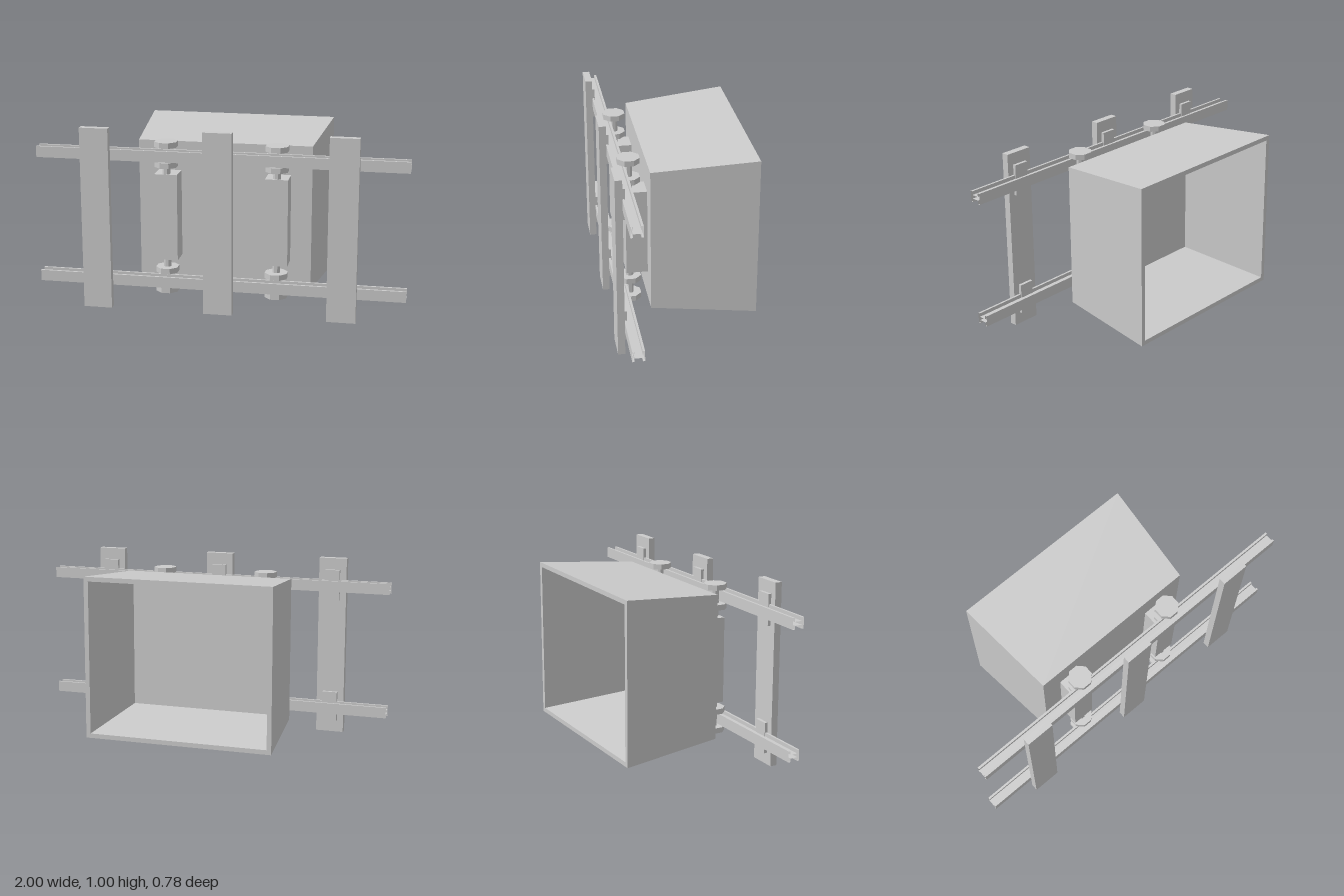
import * as THREE from 'three';

const grey = new THREE.MeshStandardMaterial({ color: 0xcccccc, flatShading: true });
const greyOpen = new THREE.MeshStandardMaterial({ color: 0xcccccc, flatShading: true, side: THREE.DoubleSide });

// Joins consecutive rings of [x, y, z] points with quads; caps close four-sided ends.
function loft(rings, caps) {
  const pos = [];
  const quad = (a, b, c, d) => pos.push(...a, ...b, ...c, ...a, ...c, ...d);
  for (let i = 0; i < rings.length - 1; i++) {
    const a = rings[i], b = rings[i + 1], n = a.length;
    for (let j = 0; j < n; j++) {
      const k = (j + 1) % n;
      quad(a[j], a[k], b[k], b[j]);
    }
  }
  if (caps) {
    const [a, b, c, d] = rings[0];
    quad(d, c, b, a);
    quad(...rings[rings.length - 1]);
  }
  const g = new THREE.BufferGeometry();
  g.setAttribute('position', new THREE.Float32BufferAttribute(pos, 3));
  g.computeVertexNormals();
  return g;
}

export function createModel() {
  const model = new THREE.Group();
  model.name = 'railCart';

  const add = (name, geometry, x, y, z, material = grey) => {
    const mesh = new THREE.Mesh(geometry, material);
    mesh.name = name;
    mesh.position.set(x, y, z);
    model.add(mesh);
    return mesh;
  };

  // Hollow tapered bucket, open towards -z
  const rect = (hx, hy, z) => [[-hx, -hy, z], [hx, -hy, z], [hx, hy, z], [-hx, hy, z]];
  add('bucket', loft([
    rect(0.452, 0.378, 0.15),
    rect(0.5, 0.421, -0.39),
    rect(0.525, 0.446, -0.39),
    rect(0.474, 0.4, 0.175),
  ], true), 0, 0.5, 0);

  // Axle blocks, axles and paired wheels either side of each rail
  const blockGeo = new THREE.BoxGeometry(0.124, 0.478, 0.115);
  const octagon = (apothem, h) => new THREE.CylinderGeometry(
    apothem / Math.cos(Math.PI / 8), apothem / Math.cos(Math.PI / 8), h, 8).rotateY(Math.PI / 8);
  const axleGeo = octagon(0.02, 0.82);
  const wheelGeo = octagon(0.059, 0.03);
  for (const x of [-0.302, 0.298]) {
    add('axleBlock', blockGeo, x, 0.5, 0.2325);
    add('axle', axleGeo, x, 0.5, 0.266);
    for (const y of [0.096, 0.205, 0.795, 0.904]) add('wheel', wheelGeo, x, y, 0.266);
  }

  // I-section rails with open ends
  const half = [[0.03, 0.285], [0.03, 0.297], [0.01, 0.297], [0.01, 0.338], [0.03, 0.338], [0.03, 0.35]];
  const section = [...half, ...half.map(([y, z]) => [-y, z]).reverse()];
  const railGeo = loft([-1, 1].map(x => section.map(([y, z]) => [x, y, z])), false);
  for (const y of [0.15, 0.85]) add('rail', railGeo, 0, y, 0, greyOpen);

  // Sleepers with a bearing plate under each rail
  const sleeperGeo = new THREE.BoxGeometry(0.156, 1, 0.038);
  const plateGeo = new THREE.BoxGeometry(0.084, 0.17, 0.018);
  for (const x of [-0.667, -0.002, 0.663]) {
    add('sleeper', sleeperGeo, x, 0.5, 0.371);
    for (const y of [0.15, 0.85]) add('railPlate', plateGeo, x, y, 0.344);
  }

  return model;
}
